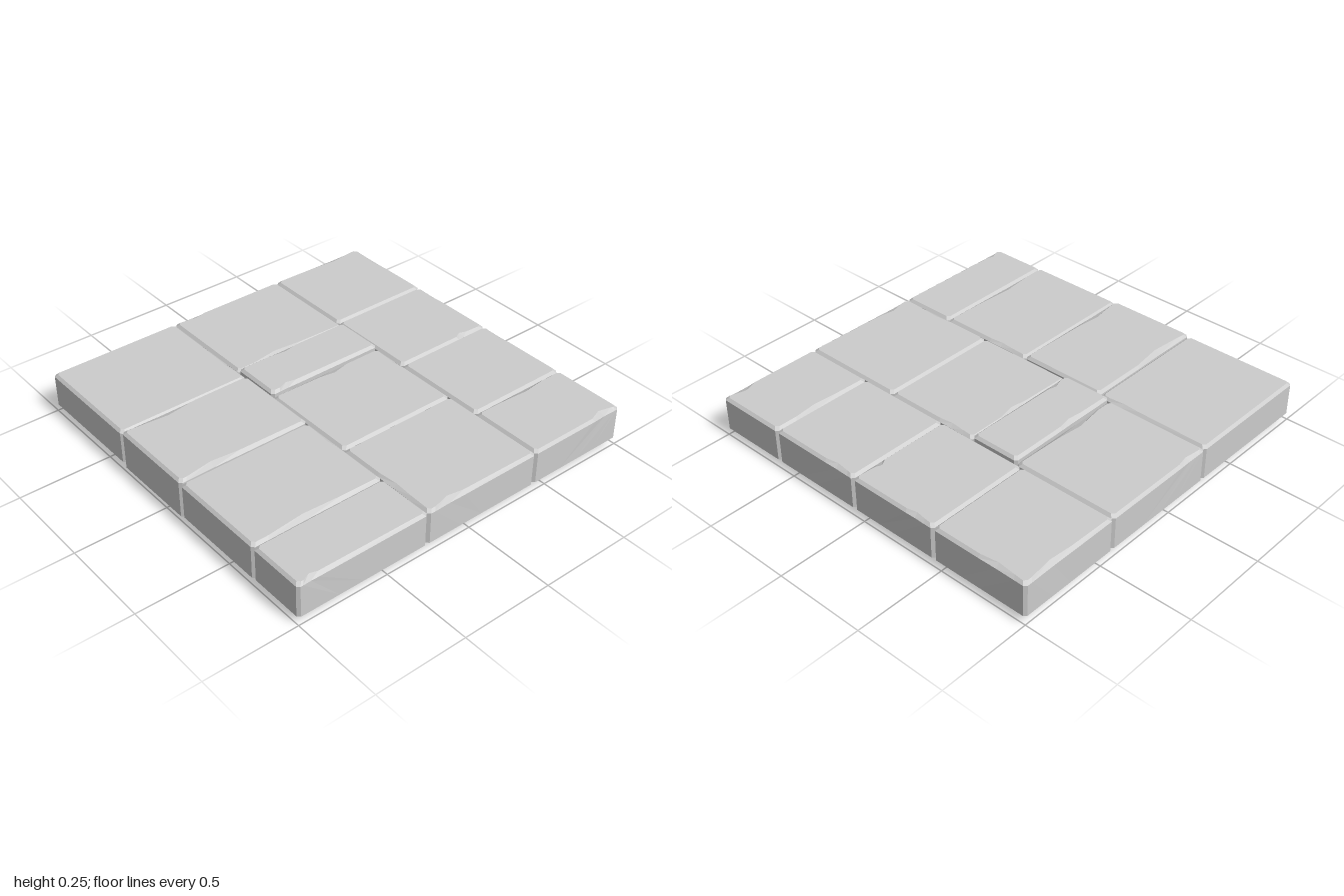
import * as THREE from 'three';

const BEVEL = 0.014, CORNER = 0.014;
const FRONT = 0, RIGHT = 1, BACK = 2, LEFT = 3;

// One outline of a slab, counter-clockwise from above; chips push the rim inward.
// chip = [side, position along side, depth, half width]
function ring(hw, hd, y, inset, chips, chipScale) {
  const points = [];
  for (let side = 0; side < 4; side++) {
    const [half, out] = side % 2 ? [hd, hw] : [hw, hd];
    const [, t, depth, w] = chips.find(c => c[0] === side) ?? [side, 0.5, 0, 0.2];
    const run = half - inset - CORNER;
    const steps = [[0, 0], [Math.max(t - w, 0.02), 0], [t, depth], [Math.min(t + w, 0.98), depth * 0.3], [1, 0]];
    for (const [s, d] of steps) {
      const p = new THREE.Vector3((s * 2 - 1) * run, y, out - inset - d * chipScale);
      points.push(p.applyAxisAngle(new THREE.Vector3(0, 1, 0), side * Math.PI / 2));
    }
  }
  return points;
}

// Bevelled slab skinned from four outlines and two caps
function slabGeometry(width, depth, height, chips) {
  const hw = width / 2, hd = depth / 2;
  const rings = [
    ring(hw, hd, 0, BEVEL, [], 0),
    ring(hw, hd, BEVEL, 0, [], 0),
    ring(hw, hd, height - BEVEL, 0, chips, 0.1),
    ring(hw, hd, height, BEVEL, chips, 1),
  ];
  const n = rings[0].length;
  const vertices = rings.flat();
  const index = [];
  for (let r = 0; r < 3; r++) {
    for (let i = 0; i < n; i++) {
      const j = (i + 1) % n, a = r * n, b = a + n;
      index.push(a + i, a + j, b + j, a + i, b + j, b + i);
    }
  }
  const bottom = vertices.push(new THREE.Vector3(0, 0, 0)) - 1;
  const top = vertices.push(new THREE.Vector3(0, height, 0)) - 1;
  for (let i = 0; i < n; i++) {
    const j = (i + 1) % n;
    index.push(bottom, j, i, top, 3 * n + i, 3 * n + j);
  }
  const indexed = new THREE.BufferGeometry().setFromPoints(vertices);
  indexed.setIndex(index);
  const geometry = indexed.toNonIndexed();
  geometry.computeVertexNormals();
  return geometry;
}

// Columns of slabs: z0, z1, bottom, top and worn spots on the upper rim
const columns = [
  { name: 'leftHandColumn', x0: -1, x1: -0.262, slabs: [
    [-1, -0.36, 0.03, 0.23, [[RIGHT, 0.2, 0.008, 0.15]]],
    [-0.36, 0.135, 0.012, 0.24, [[FRONT, 0.25, 0.022, 0.22], [BACK, 0.68, 0.022, 0.25]]],
    [0.135, 0.685, 0.024, 0.232, [[FRONT, 0.4, 0.018, 0.3], [RIGHT, 0.7, 0.008, 0.15]]],
    [0.685, 1, 0.03, 0.23, [[FRONT, 0.08, 0.018, 0.06]]],
  ] },
  { name: 'middleColumn', x0: -0.262, x1: 0.418, slabs: [
    [-1, -0.42, 0.03, 0.23, [[FRONT, 0.37, 0.022, 0.25], [BACK, 0.85, 0.012, 0.1]]],
    [-0.42, -0.14, 0, 0.25, [[FRONT, 0.13, 0.018, 0.08], [BACK, 0.6, 0.014, 0.12]]],
    [-0.14, 0.41, 0.03, 0.23, [[BACK, 0.45, 0.02, 0.15], [RIGHT, 0.75, 0.01, 0.15]]],
    [0.41, 1, 0.03, 0.23, [[FRONT, 0.18, 0.022, 0.14], [LEFT, 0.6, 0.01, 0.2]]],
  ] },
  { name: 'rightHandColumn', x0: 0.418, x1: 1, slabs: [
    [-1, -0.455, 0.03, 0.23, [[BACK, 0.3, 0.015, 0.25], [RIGHT, 0.7, 0.014, 0.2]]],
    [-0.455, 0.06, 0.03, 0.23, [[FRONT, 0.76, 0.02, 0.07], [RIGHT, 0.8, 0.012, 0.12]]],
    [0.06, 0.595, 0.03, 0.23, [[RIGHT, 0.8, 0.012, 0.15]]],
    [0.595, 1, 0.03, 0.23, [[FRONT, 0.84, 0.024, 0.13], [BACK, 0.45, 0.014, 0.25]]],
  ] },
];

export function createModel() {
  const model = new THREE.Group();
  model.name = 'stoneFloorTile';
  const stone = new THREE.MeshStandardMaterial({ color: 0xcccccc, flatShading: true });

  for (const { name, x0, x1, slabs } of columns) {
    const column = new THREE.Group();
    column.name = name;
    slabs.forEach(([z0, z1, y0, y1, chips], i) => {
      const slab = new THREE.Mesh(slabGeometry(x1 - x0, z1 - z0, y1 - y0, chips), stone);
      slab.name = `stoneSlab${i + 1}`;
      slab.position.set((x0 + x1) / 2, y0, (z0 + z1) / 2);
      column.add(slab);
    });
    model.add(column);
  }
  return model;
}
